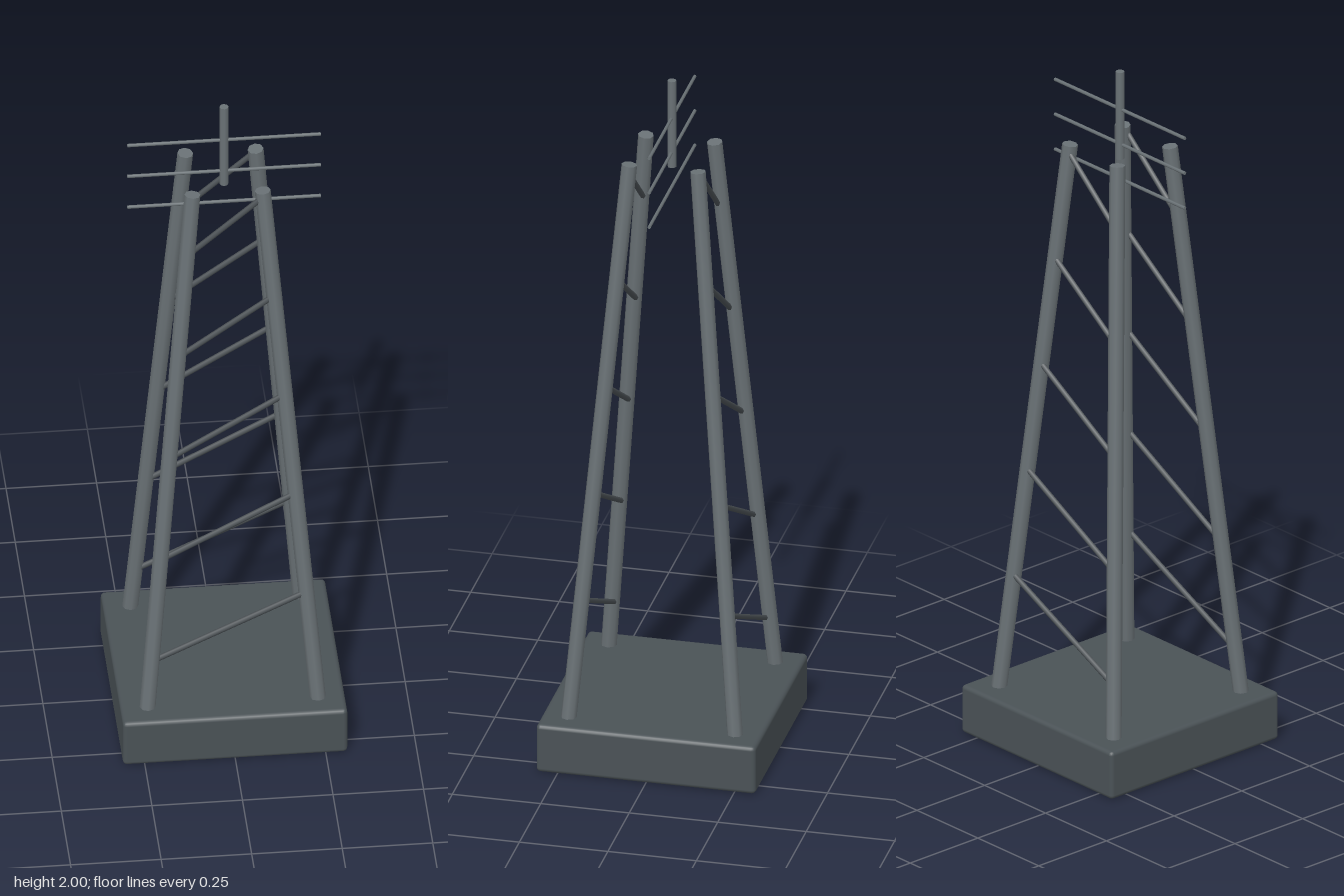
import * as THREE from 'three';
import { RoundedBoxGeometry } from 'three/addons/geometries/RoundedBoxGeometry.js';

const UP = new THREE.Vector3(0, 1, 0);
const material = (color) => new THREE.MeshStandardMaterial({ color });

// Straight round bar between two points
function bar(name, from, to, radius, sides, mat) {
  const dir = to.clone().sub(from);
  const mesh = new THREE.Mesh(new THREE.CylinderGeometry(radius, radius, dir.length(), sides), mat);
  mesh.name = name;
  mesh.position.copy(from).add(to).multiplyScalar(0.5);
  mesh.quaternion.setFromUnitVectors(UP, dir.normalize());
  return mesh;
}

export function createModel() {
  const model = new THREE.Group();
  model.name = 'latticeMast';
  const V = (x, y, z) => new THREE.Vector3(x, y, z);

  const baseMat = material(0x4a5256);
  const steelMat = material(0x6a7276);
  const braceMat = material(0x4a5054);

  // Foundation block with softened edges
  const baseHeight = 0.143;
  const base = new THREE.Mesh(new RoundedBoxGeometry(0.62, baseHeight, 0.62, 2, 0.012), baseMat);
  base.name = 'base';
  base.position.y = baseHeight / 2;
  model.add(base);

  // Four legs leaning in towards the top
  const bottomY = 0.14, topY = 1.778, bottomOff = 0.235, topOff = 0.097;
  const legOffset = (y) => THREE.MathUtils.mapLinear(y, bottomY, topY, bottomOff, topOff);
  for (const sx of [-1, 1]) {
    for (const sz of [-1, 1]) {
      model.add(bar('leg',
        V(sx * bottomOff, bottomY, sz * bottomOff),
        V(sx * topOff, topY, sz * topOff), 0.022, 8, steelMat));
    }
  }

  // Slanted braces on the front and back only, all rising towards +x
  for (let i = 0; i < 5; i++) {
    const low = 0.28 + i * 0.324, high = 0.487 + i * 0.319;
    const z = legOffset((low + high) / 2);
    for (const sz of [-1, 1]) {
      model.add(bar('brace',
        V(-legOffset(low), low, sz * z),
        V(legOffset(high), high, sz * z), 0.008, 6, braceMat));
    }
  }

  // Antenna: a short pole with three cross rods
  const antenna = new THREE.Group();
  antenna.name = 'antenna';
  antenna.add(bar('pole', V(0, 1.738, 0), V(0, 2, 0), 0.0125, 8, steelMat));
  for (const y of [1.677, 1.782, 1.887]) {
    antenna.add(bar('crossRod', V(-0.267, y, 0), V(0.267, y, 0), 0.005, 6, steelMat));
  }
  model.add(antenna);

  return model;
}
